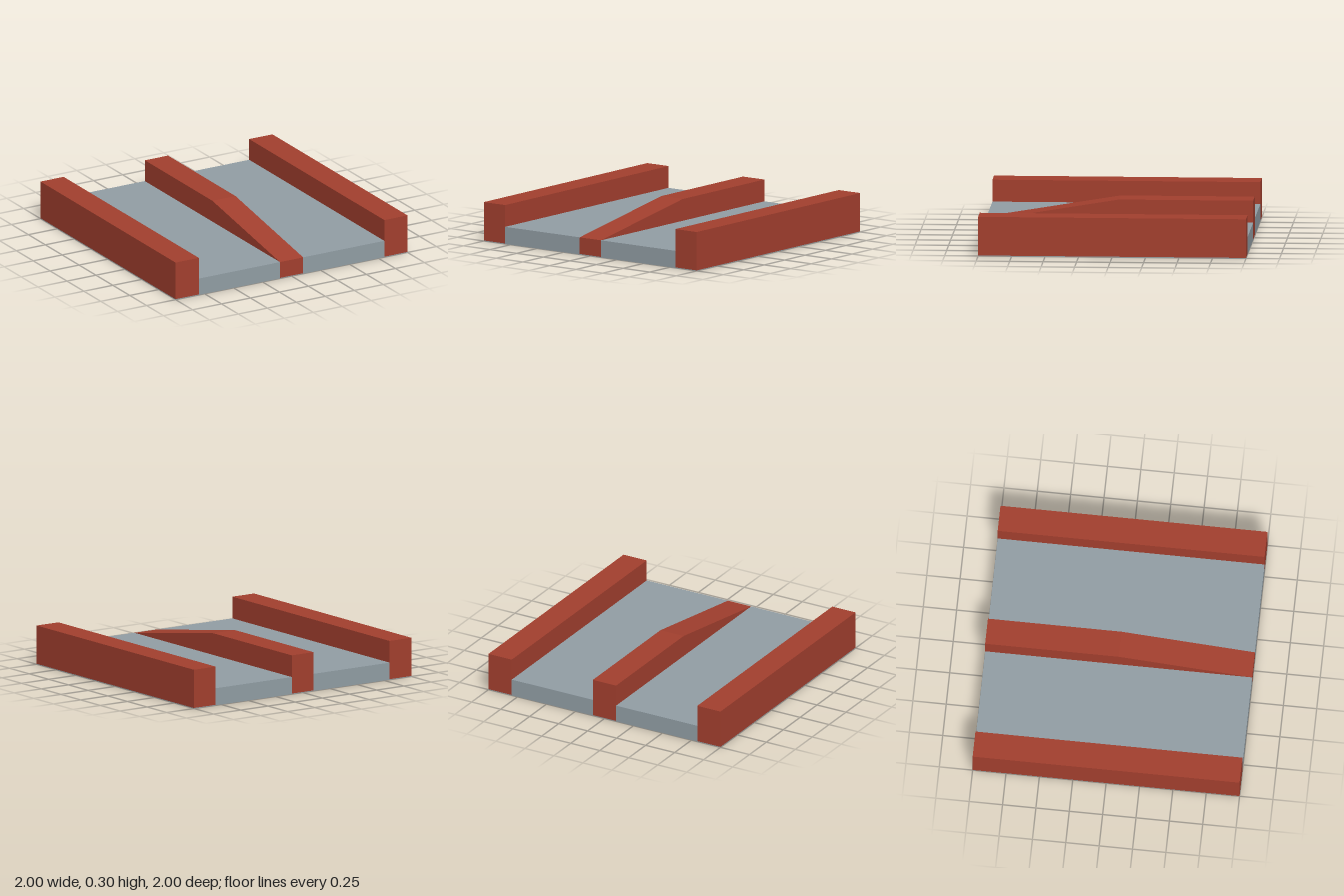
import * as THREE from 'three';

const RED = new THREE.MeshStandardMaterial({ color: 0xa23f2e });
const GREY = new THREE.MeshStandardMaterial({ color: 0x919da4 });

const SKIN = 0.004;  // thin grey underside
const FLOOR = 0.13;  // lane surface height
const WALL = 0.295;  // wall top height

// Box given by its x centre, width and vertical span, running the full length
function slab(name, x, width, y0, y1, material) {
  const mesh = new THREE.Mesh(new THREE.BoxGeometry(width, y1 - y0, 2), material);
  mesh.position.set(x, (y0 + y1) / 2, 0);
  mesh.name = name;
  return mesh;
}

export function createModel() {
  const group = new THREE.Group();
  group.name = 'dividedTrack';

  group.add(slab('underside', 0, 2, 0, SKIN, GREY));

  // Side walls and the two lanes beside the divider
  for (const [side, s] of [['left', 1], ['right', -1]]) {
    group.add(slab(side + 'Wall', s * 0.9, 0.2, SKIN, WALL, RED));
    group.add(slab(side + 'Lane', s * 0.45, 0.7, SKIN, FLOOR, GREY));
  }

  // Centre divider: full height at the back, sloping to the floor at the front
  const profile = new THREE.Shape([
    [-1, SKIN], [1, SKIN], [1, FLOOR], [0, WALL], [-1, WALL],
  ].map(([z, y]) => new THREE.Vector2(z, y)));
  const geometry = new THREE.ExtrudeGeometry(profile, { depth: 0.2, bevelEnabled: false });
  geometry.rotateY(-Math.PI / 2).translate(0.1, 0, 0);
  const divider = new THREE.Mesh(geometry, RED);
  divider.name = 'centreDivider';
  group.add(divider);

  return group;
}
